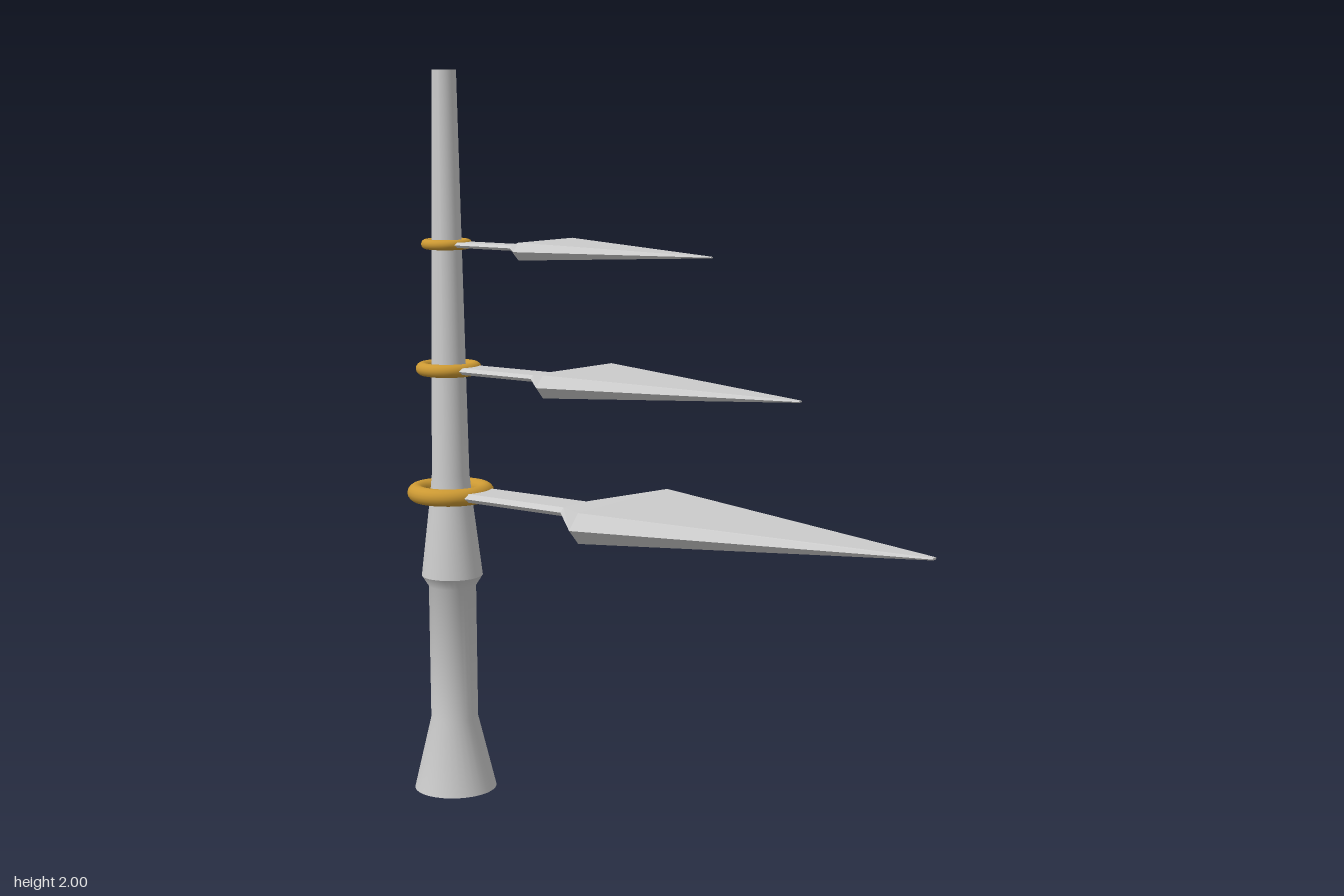
import * as THREE from 'three';
import { toCreasedNormals } from 'three/addons/utils/BufferGeometryUtils.js';

const POLE_X = -0.69;

// Bevelled blade running along +x: hexagonal cross-sections joined in a loop
function bladeGeometry() {
  // [x, half width at edge, half width of flat face, half thickness]
  const sections = [
    [0.085, 0.064, 0.05, 0.012],
    [0.43, 0.064, 0.05, 0.012],
    [0.59, 0.238, 0.2, 0.04],
    [1.495, 0.01, 0.006, 0.003],
  ];
  const pos = [];
  const idx = [];
  for (const [x, edge, flat, t] of sections) {
    pos.push(x, t, -flat, x, t, flat, x, 0, edge, x, -t, flat, x, -t, -flat, x, 0, -edge);
  }
  for (let s = 0; s < sections.length - 1; s++) {
    for (let i = 0; i < 6; i++) {
      const a = s * 6 + i;
      const b = s * 6 + (i + 1) % 6;
      idx.push(a, b, b + 6, a, b + 6, a + 6);
    }
  }
  // end caps
  const e = (sections.length - 1) * 6;
  for (let i = 1; i < 5; i++) idx.push(0, i + 1, i, e, e + i, e + i + 1);
  const geo = new THREE.BufferGeometry();
  geo.setAttribute('position', new THREE.Float32BufferAttribute(pos, 3));
  geo.setIndex(idx);
  geo.computeVertexNormals();
  return geo;
}

export function createModel() {
  const model = new THREE.Group();
  const grey = new THREE.MeshStandardMaterial({ color: 0xcccccc });
  const flatGrey = new THREE.MeshStandardMaterial({ color: 0xcccccc, flatShading: true });
  const gold = new THREE.MeshStandardMaterial({ color: 0xcc9933 });

  // Turned pole: flared foot, grip, collar, long taper, hollow top
  const profile = [
    [0, 0], [0.115, 0], [0.066, 0.205], [0.066, 0.585], [0.085, 0.615],
    [0.059, 0.83], [0.052, 0.9], [0.033, 2], [0.023, 2], [0.021, 1.97], [0, 1.97],
  ].map(([r, y]) => new THREE.Vector2(r, y));
  const pole = new THREE.Mesh(toCreasedNormals(new THREE.LatheGeometry(profile, 32), 0.6), grey);
  pole.name = 'pole';
  pole.position.x = POLE_X;
  model.add(pole);

  // Three ringed blades, shrinking towards the top
  const blade = bladeGeometry();
  const ring = new THREE.TorusGeometry(0.096, 0.024, 16, 48).rotateX(Math.PI / 2);
  const tiers = [['lower', 0.85, 1], ['middle', 1.195, 0.75], ['upper', 1.535, 0.576]];
  for (const [name, y, scale] of tiers) {
    const tier = new THREE.Group();
    tier.name = name + 'Tier';
    const ringMesh = new THREE.Mesh(ring, gold);
    ringMesh.name = name + 'Ring';
    const bladeMesh = new THREE.Mesh(blade, flatGrey);
    bladeMesh.name = name + 'Blade';
    tier.add(ringMesh, bladeMesh);
    tier.position.set(POLE_X, y, 0);
    tier.scale.setScalar(scale);
    model.add(tier);
  }
  return model;
}
